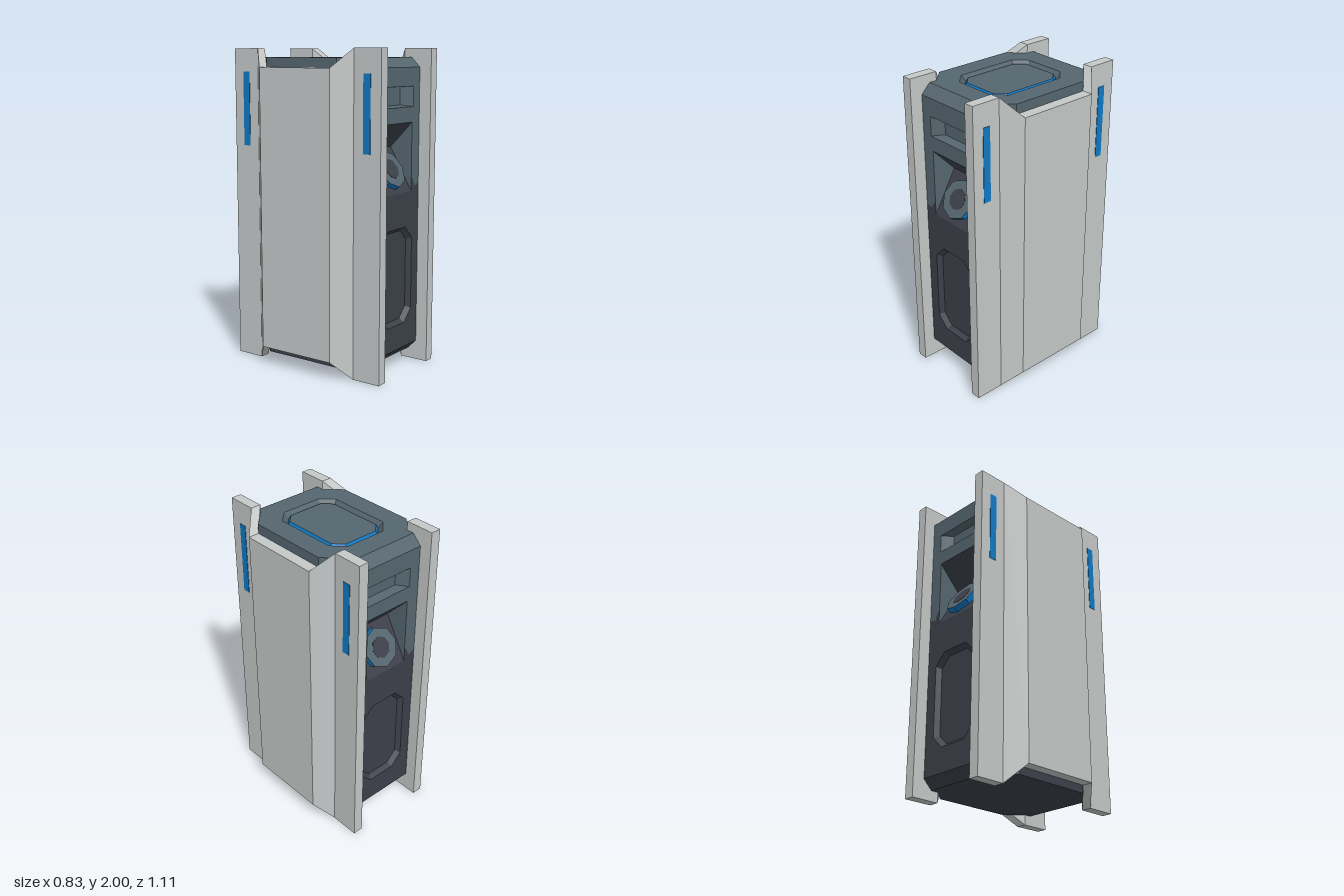
import * as THREE from 'three';

const mat = (name, color, side = THREE.FrontSide) => {
  const m = new THREE.MeshStandardMaterial({ color, side });
  m.name = name;
  return m;
};

// Flat-shaded mesh from convex polygons, each a list of [x, y, z]
function facets(name, polys, material) {
  const pos = [];
  for (const p of polys)
    for (let i = 1; i < p.length - 1; i++) pos.push(...p[0], ...p[i], ...p[i + 1]);
  const g = new THREE.BufferGeometry();
  g.setAttribute('position', new THREE.Float32BufferAttribute(pos, 3));
  g.computeVertexNormals();
  const mesh = new THREE.Mesh(g, material);
  mesh.name = name;
  return mesh;
}

// Quads joining consecutive cross-sections
function bands(loops, closed = true) {
  const out = [];
  for (let k = 0; k < loops.length - 1; k++) {
    const a = loops[k], b = loops[k + 1], n = a.length;
    for (let i = 0; i < (closed ? n : n - 1); i++) {
      const j = (i + 1) % n;
      out.push([a[i], a[j], b[j], b[i]]);
    }
  }
  return out;
}

// Rectangle with cut corners, centred on height cy
function octagon(hx, hy, c, cy = 0) {
  return [[hx, -hy + c], [hx, hy - c], [hx - c, hy], [-hx + c, hy],
    [-hx, hy - c], [-hx, -hy + c], [-hx + c, -hy], [hx - c, -hy]].map(([x, y]) => [x, y + cy]);
}
const rect = (hx, y0, y1) => [[hx, y0], [hx, y1], [-hx, y1], [-hx, y0]];
const atZ = (pts, z) => pts.map(([x, y]) => [x, y, z]);
const atY = (pts, y) => pts.map(([x, z]) => [x, y, -z]);

function plate(name, outline, holes, material) {
  const v = (pts) => pts.map(([x, y]) => new THREE.Vector2(x, y));
  const s = new THREE.Shape(v(outline));
  for (const h of holes) s.holes.push(new THREE.Path(v(h)));
  const mesh = new THREE.Mesh(new THREE.ShapeGeometry(s), material);
  mesh.name = name;
  return mesh;
}

export function createModel() {
  const slate = mat('slate casing', 0x55666f, THREE.DoubleSide);
  const dark = mat('dark casing', 0x3c4049, THREE.DoubleSide);
  const pale = mat('pale armour', 0xc4c8c7);
  const blue = mat('blue accent', 0x1079c4, THREE.DoubleSide);

  const W = 0.245, SX = 0.345, Z = 0.475, ZC = 0.415;
  const Y0 = 0.065, Y1 = 0.125, YS = 1.15, Y2 = 1.885, Y3 = 1.945;
  const model = new THREE.Group();
  model.name = 'armouredPillar';

  // Front face with its recesses; also used for the back
  function createEnd(name) {
    const end = new THREE.Group();
    end.name = name;
    const seam = [[W, 1.165], [0.2, 1.15], [0.18, 1.19], [0.16, 1.215]];
    const seamBack = [...seam].reverse();
    const flip = (pts) => pts.map(([x, y]) => [-x, y]);
    const slotOuter = rect(0.172, 1.645, 1.77), slotInner = rect(0.112, 1.655, 1.765);
    const insetOuter = octagon(0.173, 0.308, 0.077, 0.592);
    const insetInner = octagon(0.15, 0.283, 0.066, 0.592);

    const upper = plate('upperFace', [[W, Y2], [-W, Y2], ...flip(seam),
      [-0.16, 1.55], [0.16, 1.55], ...seamBack], [slotOuter], slate);
    const lower = plate('lowerFace', [[-W, Y1], [W, Y1], ...seam,
      [0.16, 1.12], [-0.16, 1.12], ...flip(seamBack)], [insetOuter], dark);
    upper.position.z = lower.position.z = Z;
    end.add(upper, lower);

    // Slot and cut-corner inset
    end.add(facets('slot', [...bands([atZ(slotOuter, Z), atZ(slotInner, Z - 0.06)]),
      atZ(slotInner, Z - 0.06)], slate));
    end.add(facets('inset', [...bands([atZ(insetOuter, Z), atZ(insetInner, Z - 0.03)]),
      atZ(insetInner, Z - 0.03)], dark));

    // Wedge-shaped niche
    const niche = [-0.16, 0.16].map((x) => [[x, 1.55, Z], [x, 1.39, 0.32], [x, 1.12, Z]]);
    end.add(facets('nicheSlopes', bands(niche, false), dark));
    end.add(facets('nicheSides', niche, slate));

    // Eight-sided knob on the lower slope
    const knob = new THREE.Group();
    knob.name = 'knob';
    const body = new THREE.Mesh(
      new THREE.CylinderGeometry(0.125, 0.125, 0.055, 8).toNonIndexed(), [blue, slate, slate]);
    body.geometry.computeVertexNormals();
    body.name = 'knobBody';
    body.position.y = -0.0275;
    const centre = new THREE.Mesh(new THREE.CylinderGeometry(0.067, 0.067, 0.004, 8), dark);
    centre.name = 'knobCentre';
    knob.add(body, centre);
    knob.position.set(0, 1.273, 0.43);
    knob.rotation.x = Math.PI / 3;
    end.add(knob);

    // Chamfers at top and bottom
    const strip = (ya, za, yb, zb) => [[[-W, ya, za], [W, ya, za], [W, yb, zb], [-W, yb, zb]]];
    end.add(facets('topChamfer', strip(Y2, Z, Y3, ZC), slate));
    end.add(facets('bottomChamfer', strip(Y0, ZC, Y1, Z), dark));
    return end;
  }
  const back = createEnd('backEnd');
  back.rotation.y = Math.PI;
  model.add(createEnd('frontEnd'), back);

  // Casing sides
  const sideLoop = (s, y, ze) => [[W, ze], [W, 0.365], [SX, 0.265], [SX, -0.265],
    [W, -0.365], [W, -ze]].map(([x, z]) => [s * x, y, z]);
  for (const s of [1, -1]) {
    const side = s > 0 ? 'left' : 'right';
    model.add(facets(side + 'UpperSide', bands(
      [sideLoop(s, YS, Z), sideLoop(s, Y2, Z), sideLoop(s, Y3, ZC)], false), slate));
    model.add(facets(side + 'LowerSide', bands(
      [sideLoop(s, Y0, ZC), sideLoop(s, Y1, Z), sideLoop(s, YS, Z)], false), dark));
  }

  // Top and bottom
  const half = [[W, -ZC], [W, -0.365], [SX, -0.265], [SX, 0.265], [W, 0.365], [W, ZC]];
  const plan = [...half, ...half.map(([x, z]) => [-x, -z])];
  const hole = octagon(0.213, 0.28, 0.077);
  const floor = octagon(0.187, 0.252, 0.062);
  const lid = octagon(0.174, 0.239, 0.057);
  const top = plate('top', plan, [hole], slate);
  top.rotation.x = -Math.PI / 2;
  top.position.y = Y3;
  const bottom = plate('bottom', plan, [], dark);
  bottom.rotation.x = Math.PI / 2;
  bottom.position.y = Y0;
  model.add(top, bottom);

  // Recessed hatch with a blue bevel
  const yf = Y3 - 0.035, yl = Y3 - 0.01;
  model.add(facets('hatchRecess', bands([atY(hole, Y3), atY(floor, yf)]), slate));
  model.add(facets('hatchBevel', bands([atY(floor, yf), atY(lid, yl)]), blue));
  model.add(facets('hatchLid', [atY(lid, yl)], slate));

  // Armour panels: cross-sections along z, each [z, inner x, outer x, end inset]
  const sections = [[-0.555, W, 0.312, 0], [-0.365, W, 0.312, 0], [-0.265, SX, 0.415, 0.115],
    [0.265, SX, 0.415, 0.115], [0.365, W, 0.312, 0], [0.555, W, 0.312, 0]]
    .map(([z, a, b, d]) => [[a, d, z], [b, d, z], [b, 2 - d, z], [a, 2 - d, z]]);
  for (const name of ['leftArmour', 'rightArmour']) {
    const armour = new THREE.Group();
    armour.name = name;
    armour.add(facets('armourPanel',
      [...bands(sections), [...sections[0]].reverse(), sections[5]], pale));
    for (const z of [-0.458, 0.46]) {
      const light = new THREE.Mesh(new THREE.BoxGeometry(0.006, 0.465, 0.05), blue);
      light.name = 'lightStrip';
      light.position.set(0.312, 1.622, z);
      armour.add(light);
    }
    if (name === 'rightArmour') armour.rotation.y = Math.PI;
    model.add(armour);
  }
  return model;
}
